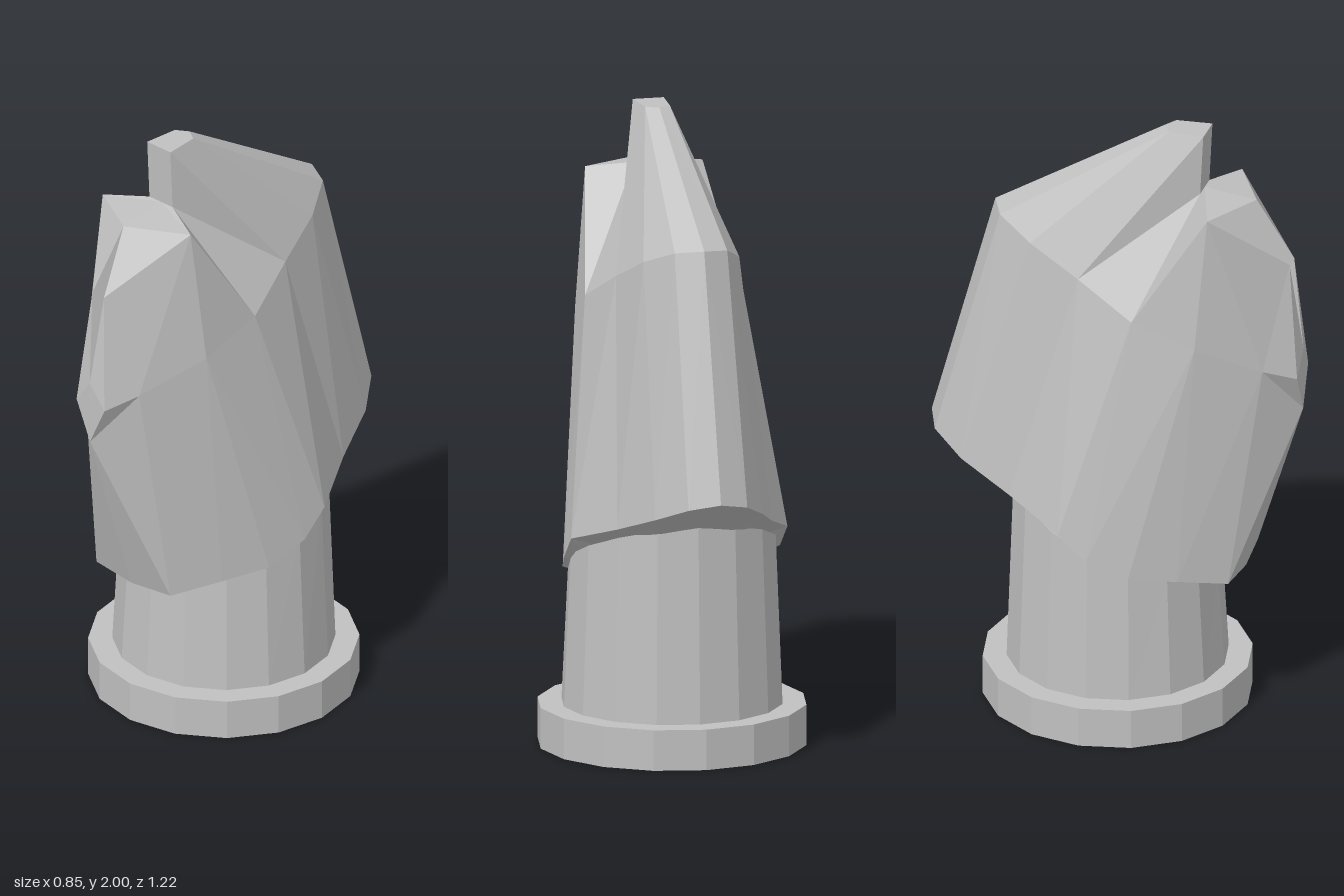
import * as THREE from 'three';

// Corner points of the +x half, [x, y, z]
const P = {
  // flat tip and the notch in front of it
  T0: [0, 2, 0.155], T1: [0.04, 2, 0.18], T2: [0.05, 2, 0.295], K: [0.05, 1.8, 0.285],
  // upper rim, from the back to the notch
  R0: [0, 1.66, -0.4], R1: [0.085, 1.65, -0.36], R2: [0.155, 1.6, -0.24], R3: [0.2, 1.52, -0.07], B: [0.25, 1.42, 0.12],
  // front lobe
  A: [0.19, 1.78, 0.35], C: [0, 1.78, 0.455], L: [0.025, 1.58, 0.57], H: [0, 1.52, 0.52], G: [0, 1.28, 0.608],
  M: [0.06, 1.2, 0.605], E: [0, 1.07, 0.607], D: [0.12, 1.24, 0.51], F: [0.23, 1.34, 0.32],
  // lower rim, from the back to the front
  S0: [0, 0.89, -0.608], S1: [0.095, 0.87, -0.57], S2: [0.175, 0.82, -0.46], S3: [0.25, 0.755, -0.28],
  P5: [0.35, 0.69, -0.09], P4: [0.35, 0.61, 0], P3: [0.32, 0.55, 0.13], P2: [0.25, 0.53, 0.27],
  P1: [0.16, 0.5, 0.41], P0: [0, 0.49, 0.42],
};

const crownFaces = [
  'T0 T1 R1', 'T0 R1 R0', 'T1 R2 R1', 'T1 R3 R2', 'T1 T2 R3', 'T2 K R3', 'K B R3',
];
const backFaces = [
  'R0 R1 S1', 'R0 S1 S0', 'R1 R2 S2', 'R1 S2 S1', 'R2 R3 S3', 'R2 S3 S2', 'R3 B P5', 'R3 P5 S3',
];
const frontFaces = [
  'K A B', 'A C L', 'C H L', 'H G L', 'L G M', 'G E M', 'A L D', 'L M D', 'M E D',
  'E P0 P1', 'E P1 D', 'D P1 P2', 'D P2 F', 'A D F', 'A F B', 'F P2 P3', 'F P3 P4', 'F P4 B', 'B P4 P5',
];
const lowerRim = ['S0', 'S1', 'S2', 'S3', 'P5', 'P4', 'P3', 'P2', 'P1', 'P0'];

// Builds both mirrored halves, turning every triangle away from the core
function facetedMesh(name, triangles, material, core = [0, 1.2, 0.1]) {
  const pos = [];
  const centre = new THREE.Vector3(...core);
  for (const side of [1, -1]) {
    for (const tri of triangles) {
      const [a, b, c] = tri.map(([x, y, z]) => new THREE.Vector3(x * side, y, z));
      const n = b.clone().sub(a).cross(c.clone().sub(a));
      const mid = a.clone().add(b).add(c).divideScalar(3).sub(centre);
      const ordered = n.dot(mid) >= 0 ? [a, b, c] : [a, c, b];
      for (const v of ordered) pos.push(v.x, v.y, v.z);
    }
  }
  const g = new THREE.BufferGeometry();
  g.setAttribute('position', new THREE.Float32BufferAttribute(pos, 3));
  g.computeVertexNormals();
  const mesh = new THREE.Mesh(g, material);
  mesh.name = name;
  return mesh;
}

const named = (list) => list.map((f) => f.split(' ').map((k) => P[k]));

export function createModel() {
  const group = new THREE.Group();
  group.name = 'carvedPiece';
  const stone = new THREE.MeshStandardMaterial({ color: 0xc0c0c0, flatShading: true, side: THREE.DoubleSide });
  stone.name = 'pale grey';

  // Round foot
  const foot = new THREE.Mesh(new THREE.CylinderGeometry(0.425, 0.425, 0.13, 16), stone);
  foot.position.y = 0.065;
  foot.name = 'foot';
  group.add(foot);

  // Neck, its top cut at a slant to meet the head
  const neckGeo = new THREE.CylinderGeometry(0.328, 0.35, 0.6, 16);
  neckGeo.translate(0, 0.42, 0);
  const p = neckGeo.attributes.position;
  for (let i = 0; i < p.count; i++) {
    if (p.getY(i) > 0.5) p.setY(i, 0.62 - 0.42 * p.getZ(i));
  }
  neckGeo.computeVertexNormals();
  const neck = new THREE.Mesh(neckGeo, stone);
  neck.name = 'neck';
  group.add(neck);

  // Head: crest, back and front lobe
  group.add(facetedMesh('crest', named(crownFaces), stone));
  group.add(facetedMesh('headBack', named(backFaces), stone));
  group.add(facetedMesh('headFront', named(frontFaces), stone));

  // Centre strips: flat tip, its front, and the ledge of the notch
  const O = { tip: [0, 2, 0.295], ledge: [0, 1.8, 0.285] };
  group.add(facetedMesh('centreStrips', [
    [P.T0, P.T1, P.T2], [P.T0, P.T2, O.tip],
    [O.tip, P.T2, P.K], [O.tip, P.K, O.ledge],
    [O.ledge, P.K, P.A], [O.ledge, P.A, P.C],
  ], stone));

  // Underside, sloping in to the neck
  const inner = ([x, y, z]) => [x * 0.75, y - 0.02 - 0.1 * Math.max(0, -z), z * 0.75];
  const under = [];
  for (let i = 0; i < lowerRim.length - 1; i++) {
    const a = P[lowerRim[i]], b = P[lowerRim[i + 1]];
    under.push([a, b, inner(b)], [a, inner(b), inner(a)], [inner(a), inner(b), [0, 0.62, 0]]);
  }
  group.add(facetedMesh('headUnderside', under, stone));

  return group;
}
